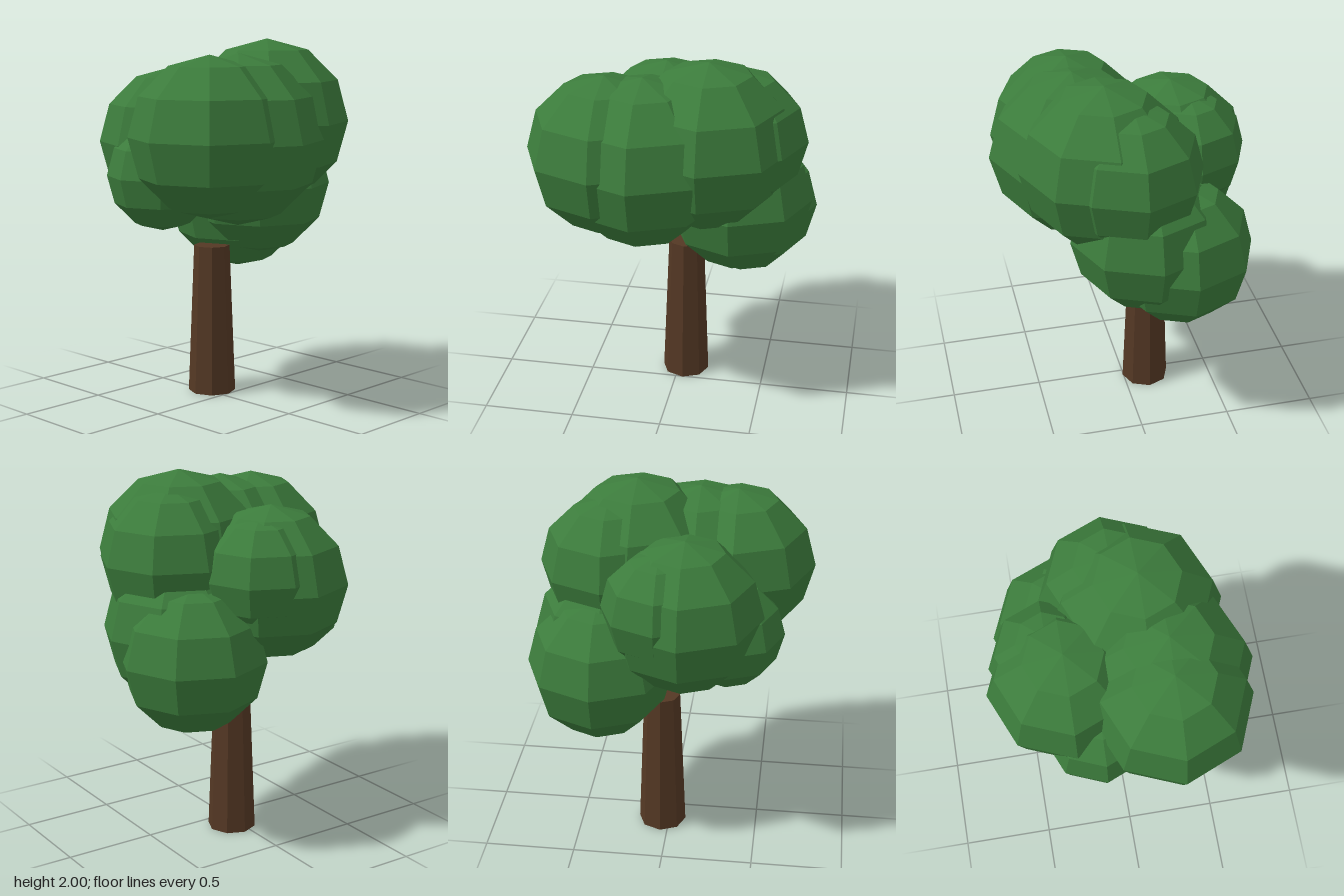
import * as THREE from 'three';

export function createModel() {
  const model = new THREE.Group();
  const leafGreen = new THREE.MeshStandardMaterial({ color: 0x3c7c3c, flatShading: true });
  leafGreen.name = 'leaf green';
  const barkBrown = new THREE.MeshStandardMaterial({ color: 0x543824, flatShading: true });
  barkBrown.name = 'bark brown';

  // Tapered eight-sided trunk
  const trunk = new THREE.Mesh(new THREE.CylinderGeometry(0.1, 0.133, 0.843, 8), barkBrown);
  trunk.name = 'trunk';
  trunk.position.set(0.04, 0.4215, -0.128);
  model.add(trunk);

  // Overlapping faceted leaf clumps: x, y, z, radius
  const clumps = [
    [0.2, 1.55, 0.14, 0.45],
    [-0.333, 1.5, 0.232, 0.427],
    [-0.13, 1.475, 0.24, 0.457],
    [-0.1, 1.43, -0.285, 0.415],
    [0.36, 1.07, -0.233, 0.398],
    [0.02, 1.49, -0.355, 0.312],
    [0.335, 1.55, 0.024, 0.38],
    [0.338, 1.18, -0.05, 0.405],
    [-0.32, 1.268, -0.146, 0.3],
  ];
  const crown = new THREE.Group();
  crown.name = 'crown';
  clumps.forEach(([x, y, z, r], i) => {
    const clump = new THREE.Mesh(new THREE.SphereGeometry(r, 8, 6), leafGreen);
    clump.name = `leafClump${i + 1}`;
    clump.position.set(x, y, z);
    crown.add(clump);
  });
  model.add(crown);
  return model;
}
